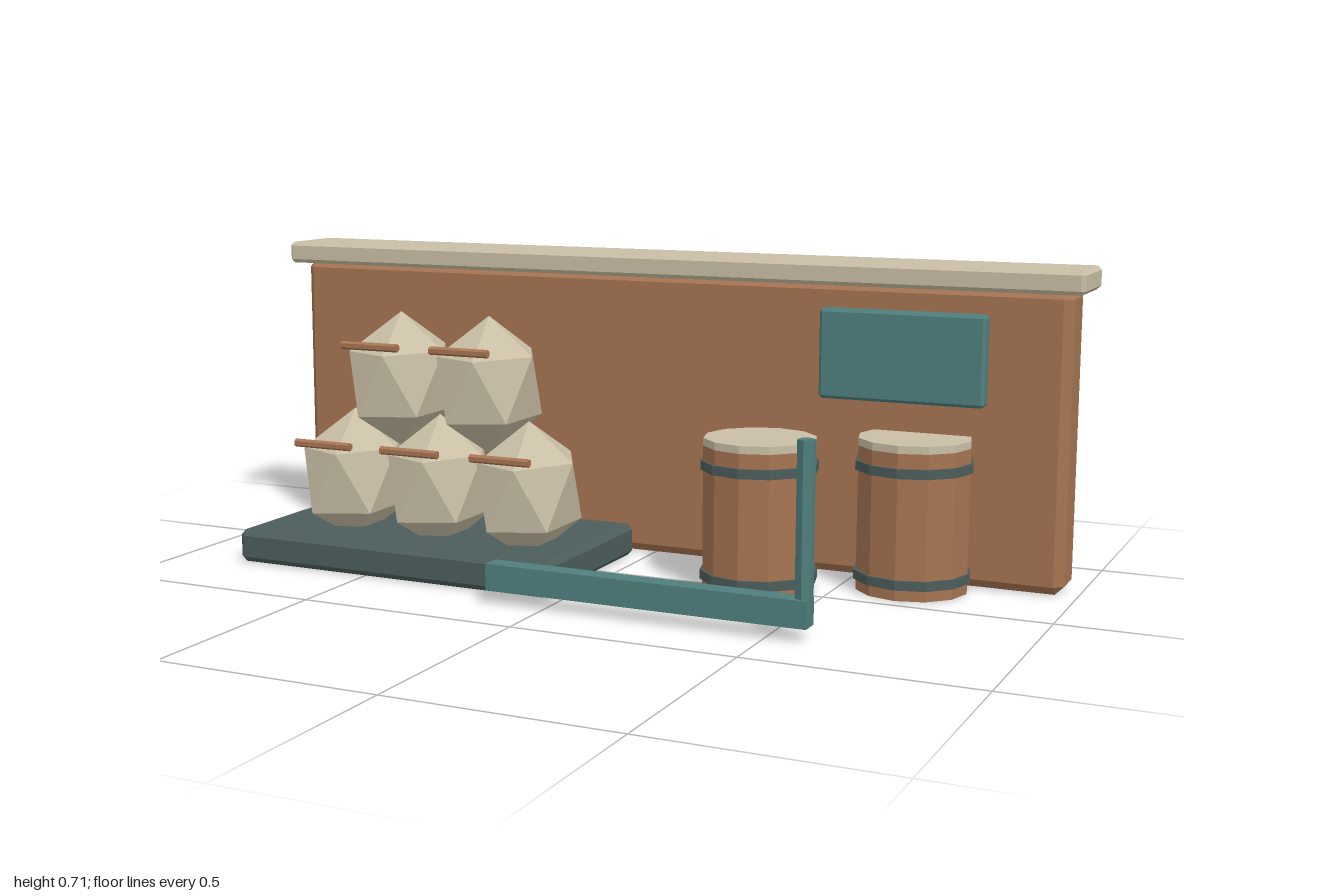
import * as THREE from 'three';
import { ConvexGeometry } from 'three/addons/geometries/ConvexGeometry.js';

const material = (name, color) => {
  const m = new THREE.MeshStandardMaterial({ color, flatShading: true });
  m.name = name;
  return m;
};

export function createModel() {
  const brown = material('clay brown', 0xa67452);
  const cream = material('cream', 0xc9bfa6);
  const teal = material('teal', 0x4f7f7e);
  const slate = material('slate', 0x4c5d5c);

  const model = new THREE.Group();
  model.name = 'storageYard';

  const add = (name, geometry, mat, x, y, z, parent = model) => {
    const mesh = new THREE.Mesh(geometry, mat);
    mesh.name = name;
    mesh.position.set(x, y, z);
    parent.add(mesh);
    return mesh;
  };

  // Box with chamfered edges: the hull of six inset faces
  const chamferBox = (w, h, d, c) => {
    const half = [w / 2, h / 2, d / 2];
    const points = [];
    for (const sx of [-1, 1]) for (const sy of [-1, 1]) for (const sz of [-1, 1]) {
      for (let full = 0; full < 3; full++) {
        const p = [sx, sy, sz].map((s, i) => s * (half[i] - (i === full ? 0 : c)));
        points.push(new THREE.Vector3(...p));
      }
    }
    return new ConvexGeometry(points);
  };

  // Wall, coping, loading platform and sign board
  add('wall', chamferBox(1.94, 0.667, 0.115, 0.02), brown, 0, 0.3345, -0.2725);
  add('wallCap', chamferBox(2, 0.052, 0.174, 0.009), cream, 0, 0.686, -0.2725);
  add('platform', chamferBox(0.805, 0.076, 0.46, 0.013), slate, -0.4375, 0.039, 0.047);
  add('signBoard', chamferBox(0.376, 0.202, 0.038, 0.007), teal, 0.606, 0.509, -0.196);

  // Barrier rail and its upright post
  add('rail', new THREE.BoxGeometry(0.725, 0.058, 0.045), teal, -0.135 + 0.3625, 0.059, 0.337);
  add('post', new THREE.CylinderGeometry(0.019, 0.019, 0.35, 6), teal, 0.577, 0.234, 0.337);

  // Sack: a stretched icosahedron standing on a point
  const sackPoints = [new THREE.Vector3(0, 1, 0), new THREE.Vector3(0, -1, 0)];
  for (let i = 0; i < 5; i++) {
    const a = (i * Math.PI * 2) / 5;
    const x = 0.8944 * Math.cos(a), z = 0.8944 * Math.sin(a);
    sackPoints.push(new THREE.Vector3(x, 0.4472, z), new THREE.Vector3(-x, -0.4472, -z));
  }
  const sackGeometry = new ConvexGeometry(sackPoints).scale(0.123, 0.16, 0.1645);
  const tieGeometry = new THREE.CylinderGeometry(0.0095, 0.0095, 0.148, 6)
    .rotateY(Math.PI / 2).rotateZ(Math.PI / 2);

  const sackPlaces = [
    [-0.639, 0.191, 0.077], [-0.409, 0.191, 0.077], [-0.177, 0.191, 0.077],
    [-0.527, 0.421, 0.047], [-0.294, 0.421, 0.047],
  ];
  for (const [x, y, z] of sackPlaces) {
    const sack = new THREE.Group();
    sack.name = 'tiedSack';
    sack.position.set(x, y, z);
    add('sack', sackGeometry, cream, 0, 0, 0, sack);
    add('sackTie', tieGeometry, brown, 0, 0.0925, 0.139, sack);
    model.add(sack);
  }

  // Barrels with two hoops and a pale lid
  const drum = (r, h) => new THREE.CylinderGeometry(r, r, h, 12);
  for (const [x, z] of [[0.345, -0.014], [0.65, -0.16]]) {
    const barrel = new THREE.Group();
    barrel.name = 'barrel';
    barrel.position.set(x, 0, z);
    add('barrelBody', drum(0.125, 0.322), brown, 0, 0.162, 0, barrel);
    add('barrelLid', drum(0.125, 0.017), cream, 0, 0.3315, 0, barrel);
    for (const y of [0.036, 0.28]) add('barrelHoop', drum(0.131, 0.021), slate, 0, y, 0, barrel);
    model.add(barrel);
  }

  return model;
}
